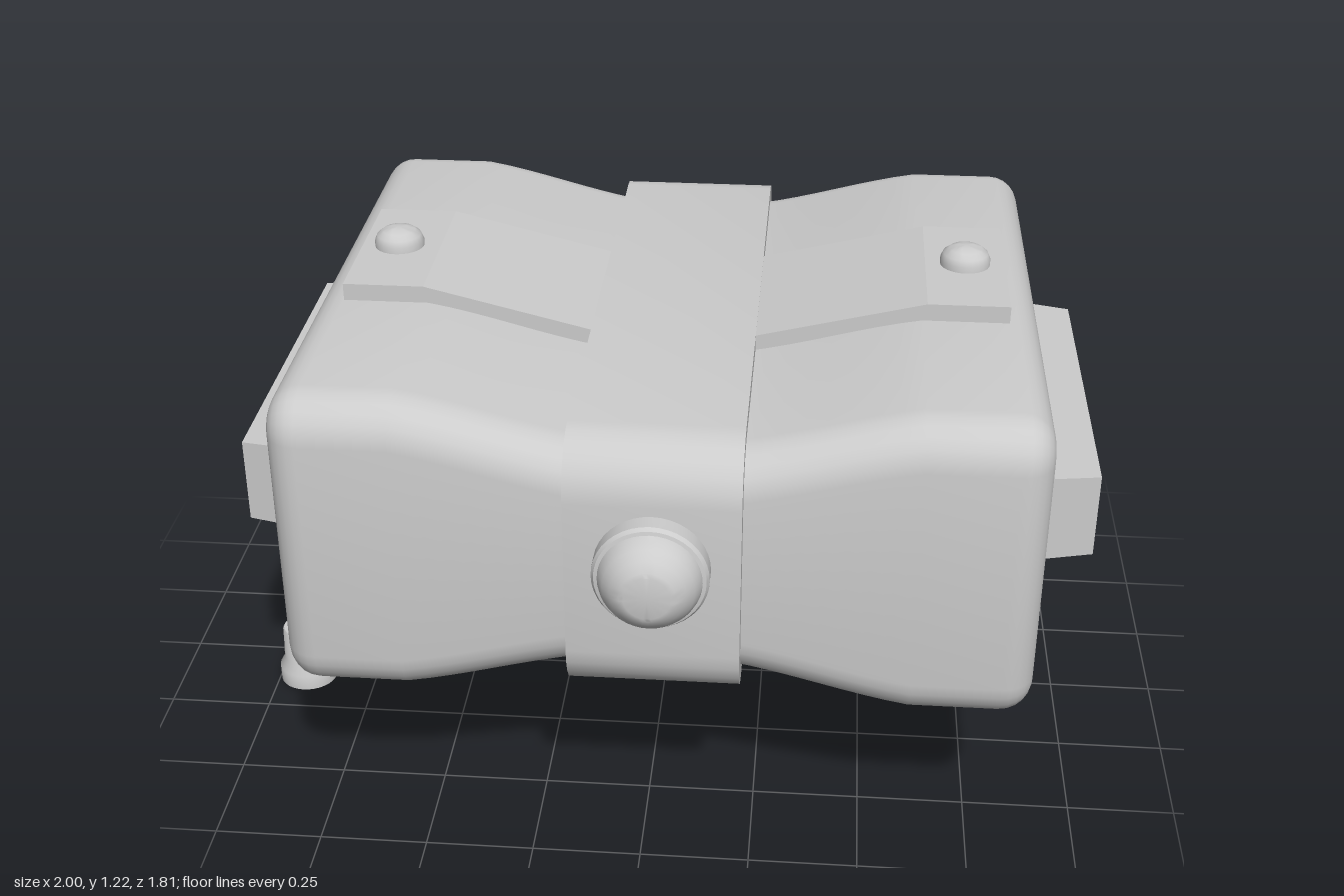
import * as THREE from 'three';
import { toCreasedNormals } from 'three/addons/utils/BufferGeometryUtils.js';

const CX = 0.033, CY = 0.771;
const mat = new THREE.MeshStandardMaterial({ color: 0xcccccc });

function add(parent, name, geo, x = 0, y = 0, z = 0, crease = 0.55) {
  const m = new THREE.Mesh(toCreasedNormals(geo, crease), mat);
  m.name = name;
  m.position.set(x, y, z);
  parent.add(m);
  return m;
}

// Rounded rectangle outline in (z, y), counterclockwise seen from +x
function ring(h, w, r, n = 6) {
  const pts = [];
  for (let c = 0; c < 4; c++) {
    const sx = c === 0 || c === 3 ? 1 : -1, sy = c < 2 ? 1 : -1;
    for (let i = 0; i <= n; i++) {
      const a = (c + i / n) * Math.PI / 2;
      pts.push([-(sx * (w - r) + r * Math.cos(a)), sy * (h - r) + r * Math.sin(a)]);
    }
  }
  return pts;
}

// Skin through sections [x, halfHeight, halfDepth, cornerRadius]
function loft(sections) {
  const pos = [], idx = [];
  const n = ring(1, 1, 0).length;
  for (const [x, h, w, r] of sections) for (const [z, y] of ring(h, w, r)) pos.push(x, y, z);
  for (let i = 0; i < sections.length - 1; i++) {
    for (let j = 0; j < n; j++) {
      const k = (j + 1) % n;
      const a = i * n + j, b = i * n + k, c = b + n, d = a + n;
      idx.push(a, b, c, a, c, d);
    }
  }
  const g = new THREE.BufferGeometry();
  g.setAttribute('position', new THREE.Float32BufferAttribute(pos, 3));
  g.setIndex(idx);
  return g;
}

const mirrored = half => [...half.slice().reverse().map(([x, ...s]) => [-x, ...s]), ...half];

const lathe = (pts, seg = 32) => new THREE.LatheGeometry(pts.map(p => new THREE.Vector2(...p)), seg);

function extrude(pts, depth) {
  const g = new THREE.ExtrudeGeometry(new THREE.Shape(pts.map(p => new THREE.Vector2(...p))), { depth, bevelEnabled: false });
  return g.translate(0, 0, -depth / 2);
}

// Waisted housing with a funnel recess in each end
function housing() {
  const half = [[0.001, 0.272, 0.738, 0.1], [0.16, 0.272, 0.738, 0.1]];
  for (let i = 1; i <= 8; i++) {
    const t = i / 8, s = t * 0.7 + t * t * (3 - 2 * t) * 0.3;
    half.push([0.16 + 0.4 * t, 0.272 + 0.094 * s, 0.738, 0.1]);
  }
  for (let i = 0; i <= 6; i++) {
    const a = i / 6 * Math.PI / 2, inset = 0.075 * (1 - Math.cos(a));
    half.push([0.757 + 0.073 * Math.sin(a), 0.366 - inset, 0.738 - inset, 0.1 - inset]);
  }
  half.push([0.83, 0.226, 0.62, 0], [0.7, 0.172, 0.485, 0], [0.7, 0, 0, 0]);
  return loft(mirrored(half));
}

export function createModel() {
  const model = new THREE.Group();
  model.name = 'twinLampUnit';

  add(model, 'housing', housing(), CX, CY);

  // Band round the waist
  const band = [[0.188, 0.314, 0.783, 0.13], [0.188, 0, 0, 0]];
  add(model, 'waistBand', loft(mirrored(band)), CX, CY);

  // Tapered lamp heads with a sunken window
  const lamp = [[0.68, 0.109, 0.49, 0], [0.965, 0.1, 0.43, 0], [0.965, 0.08, 0.35, 0], [0.93, 0.08, 0.35, 0], [0.93, 0, 0, 0]];
  for (const side of [1, -1]) {
    const m = add(model, side > 0 ? 'leftLampHead' : 'rightLampHead', loft(lamp), CX, CY);
    m.rotation.y = side > 0 ? 0 : Math.PI;
  }

  // Cross straps following the waist, above and below
  const strap = [[-0.755, 0.34], [-0.5, 0.33], [-0.15, 0.2], [0.15, 0.2], [0.5, 0.33], [0.755, 0.34],
    [0.755, 0.406], [0.57, 0.406], [0.188, 0.313], [-0.188, 0.313], [-0.57, 0.406], [-0.755, 0.406]];
  add(model, 'topStrap', extrude(strap, 0.44), CX, CY, 0, 0.1);
  add(model, 'bottomStrap', extrude(strap, 0.44), CX, CY, 0, 0.1).rotation.x = Math.PI;

  // Strap screws
  const screw = () => lathe([[0.058, -0.01], [0.058, 0.015], [0.052, 0.029], [0.038, 0.04], [0.02, 0.046], [0, 0.048]], 24);
  add(model, 'topScrew', screw(), -0.635, 1.176, -0.01);
  add(model, 'topScrew', screw(), 0.695, 1.176, -0.01);
  add(model, 'bottomScrew', screw(), 0.695, 0.366, 0).rotation.x = Math.PI;

  // Domed knobs front and back
  for (const s of [1, -1]) {
    const knob = lathe([[0.125, -0.02], [0.125, 0.045], [0.119, 0.054], [0.111, 0.056], [0.107, 0.07],
      [0.097, 0.089], [0.08, 0.107], [0.06, 0.122], [0.05, 0.125], [0, 0.126]], 40);
    add(model, s > 0 ? 'frontKnob' : 'backKnob', knob, CX, 0.81, s * 0.778).rotation.x = s * Math.PI / 2;
  }

  // Four hollow mounting feet with a sloped web, nuts and bolts
  const plate = [[0.018, 0.265], [0.38, 0.265], [0.38, 0.33], [0.255, 0.33], [0.175, 0.455], [0.175, 0.5], [0.018, 0.5]];
  const web = [[0.235, 0.265], [0.255, 0.265], [0.255, 0.33], [0.175, 0.455], [0.155, 0.455], [0.235, 0.33]];
  for (const sx of [1, -1]) for (const sz of [1, -1]) {
    const foot = new THREE.Group();
    foot.name = 'mountingFoot';
    foot.position.set(CX - 0.005, 0, sz * 0.113);
    const outline = pts => pts.map(([x, y]) => [x * sx, y]);
    for (const z of [-0.066, 0.066]) add(foot, 'footPlate', extrude(outline(plate), 0.018), 0, 0, z, 0.1);
    add(foot, 'slopedWeb', extrude(outline(web), 0.13), 0, 0, 0, 0.1);
    for (const x of [0.027, 0.371]) {
      add(foot, 'footWall', new THREE.BoxGeometry(0.018, 0.065, 0.13), sx * x, 0.2975, 0);
    }
    const nut = add(foot, 'nut', new THREE.CylinderGeometry(0.053, 0.053, 0.016, 6), sx * 0.096, 0.42, sz * 0.075);
    nut.rotation.x = Math.PI / 2;
    const bolt = add(foot, 'bolt', new THREE.SphereGeometry(0.038, 20, 12), sx * 0.096, 0.42, sz * 0.08);
    bolt.scale.z = 0.7;
    model.add(foot);
  }

  // Cable with its gland and plug
  const path = new THREE.CatmullRomCurve3([[-0.59, 0.37], [-0.615, 0.305], [-0.66, 0.27], [-0.74, 0.272],
    [-0.83, 0.272], [-0.9, 0.24], [-0.925, 0.17]].map(([x, y]) => new THREE.Vector3(x, y, 0.11)));
  add(model, 'cable', new THREE.TubeGeometry(path, 48, 0.019, 12));
  const gland = lathe([[0, -0.045], [0.03, -0.045], [0.034, -0.015], [0.045, -0.015], [0.045, 0.012], [0.036, 0.012], [0.036, 0.05]], 24);
  add(model, 'cableGland', gland, -0.603, 0.345, 0.11).rotation.z = -0.35;
  const plug = lathe([[0, 0.09], [0.058, 0.09], [0.062, 0], [0.072, 0], [0.072, 0.04], [0.058, 0.065], [0.056, 0.148],
    [0.053, 0.153], [0.035, 0.153], [0.035, 0.195], [0.03, 0.2], [0, 0.2]], 32);
  add(model, 'plug', plug, -0.927, 0, 0.11);

  return model;
}
